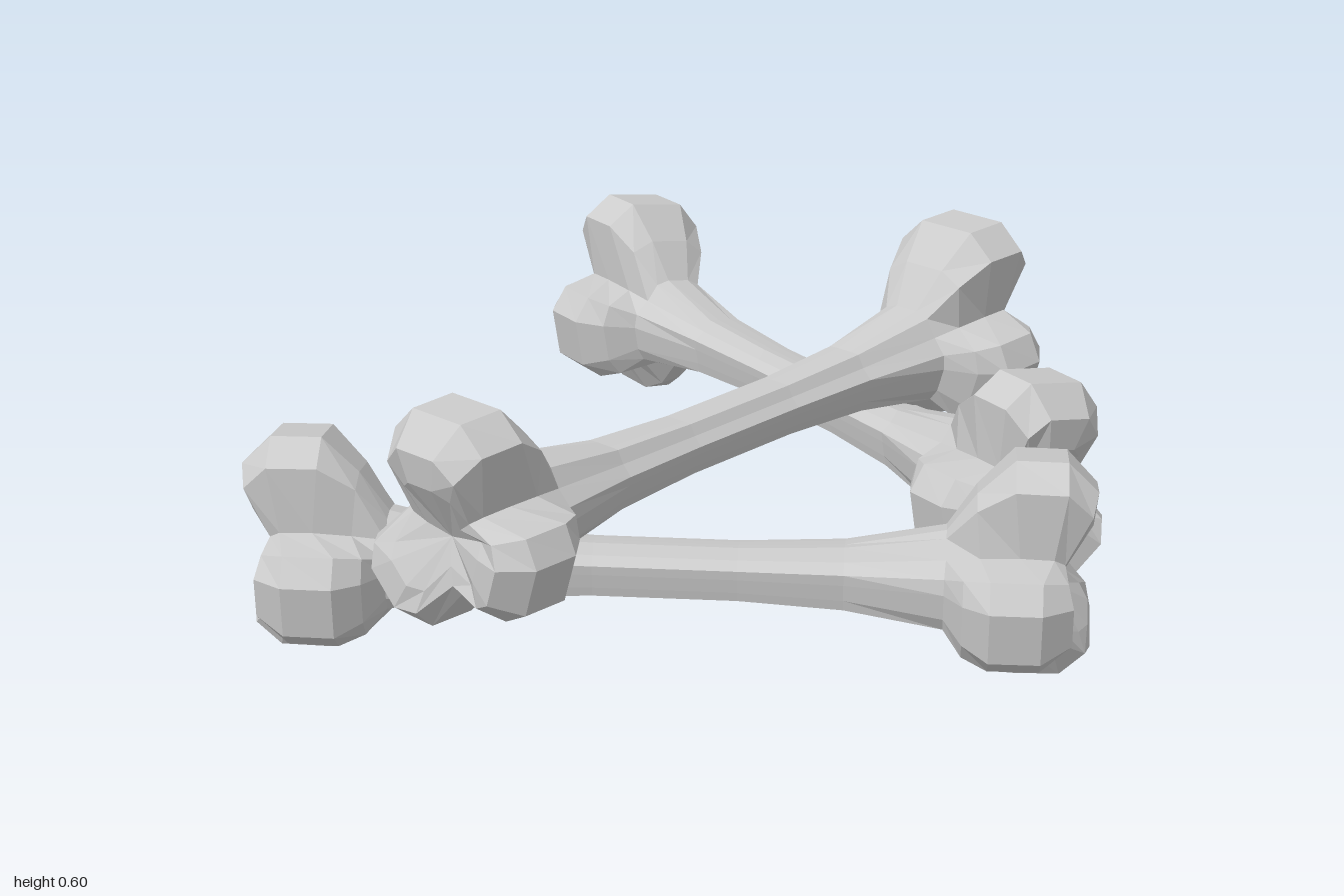
import * as THREE from 'three';

const material = new THREE.MeshStandardMaterial({ color: 0xcccccc, flatShading: true });

// The three lobes of a bone end: direction, reach and how far they sit back along the bone
const LOBES = [
  { angle: -54, reach: 0.97, back: 0 },
  { angle: 80, reach: 1.13, back: 0 },
  { angle: 190, reach: 0.92, back: 0.04 },
];
// Points across one lobe: [angle from its middle, kind], 0 = tip, 1 = flank
const ACROSS = [[-32, 1], [-15, 0], [15, 0], [32, 1]];

// A hexagonal shaft section at distance s along the bone, with apothem h
const hex = (s, h) => [[s, h * 1.03], [s, h * 1.155], [s, h]];

// Half a bone from the middle outwards: [distance, radius] for tip, flank, valley
const HALF = [
  hex(0.13, 0.051),
  hex(0.32, 0.06),
  [[0.5, 0.098], [0.5, 0.1], [0.5, 0.088]],
  [[0.552, 0.163], [0.552, 0.158], [0.56, 0.1]],
  [[0.618, 0.213], [0.618, 0.192], [0.63, 0.108]],
  [[0.71, 0.212], [0.71, 0.19], [0.69, 0.104]],
  [[0.765, 0.162], [0.755, 0.145], [0.71, 0.085]],
  [[0.758, 0.105], [0.742, 0.1], [0.706, 0.05]],
  [[0.69, 0], [0.69, 0], [0.69, 0]],
];

// All points of one ring in order: each lobe, then the valley after it
const AROUND = LOBES.flatMap(({ angle, reach, back }, k) => {
  const next = k < 2 ? LOBES[k + 1].angle : LOBES[0].angle + 360;
  return [
    ...ACROSS.map(([offset, kind]) => ({ angle: angle + offset, kind, reach, back })),
    { angle: (angle + next) / 2, kind: 2, reach: 1, back: 0 },
  ];
});

// Loft the rings into one closed bone lying along z
function boneGeometry() {
  const n = AROUND.length;
  const positions = [], index = [];
  const addRing = (ring, side) => AROUND.forEach(({ angle, kind, reach, back }) => {
    const [s, radius] = ring[kind];
    const t = THREE.MathUtils.smoothstep(s, 0.48, 0.62);
    const r = radius * (1 + (reach - 1) * t);
    const a = THREE.MathUtils.degToRad(angle);
    const end = radius > 0 ? s - back * t : s;
    positions.push(r * Math.cos(a), r * Math.sin(a), side * end);
  });
  [...HALF].reverse().forEach(ring => addRing(ring, -1));
  HALF.forEach(ring => addRing(ring, 1));

  const bands = HALF.length * 2 - 1;
  for (let i = 0; i < bands; i++) {
    for (let j = 0; j < n; j++) {
      const p = i * n + j, q = i * n + (j + 1) % n;
      if (i > 0) index.push(p, q, q + n);
      if (i < bands - 1) index.push(p, q + n, p + n);
    }
  }
  const geometry = new THREE.BufferGeometry();
  geometry.setAttribute('position', new THREE.Float32BufferAttribute(positions, 3));
  geometry.setIndex(index);
  geometry.computeVertexNormals();
  return geometry;
}

export function createModel() {
  const model = new THREE.Group();
  model.name = 'bonePile';
  const geometry = boneGeometry();

  // Two bones on the ground and one resting across them
  const bones = [
    { name: 'sideBone', at: [0.51, 0.188, -0.225], dir: [0.168, 0, 0.986], roll: 0 },
    { name: 'frontBone', at: [-0.14, 0.188, 0.485], dir: [0.87, 0, 0.49], roll: 0 },
    { name: 'topBone', at: [0.1, 0.34, 0.24], dir: [0.94, 0.033, -0.342], roll: 9 },
  ];
  for (const { name, at, dir, roll } of bones) {
    const bone = new THREE.Mesh(geometry, material);
    bone.name = name;
    bone.position.set(...at);
    bone.rotation.set(
      -Math.asin(dir[1]),
      Math.atan2(dir[0], dir[2]),
      THREE.MathUtils.degToRad(roll),
      'YXZ'
    );
    model.add(bone);
  }
  return model;
}
